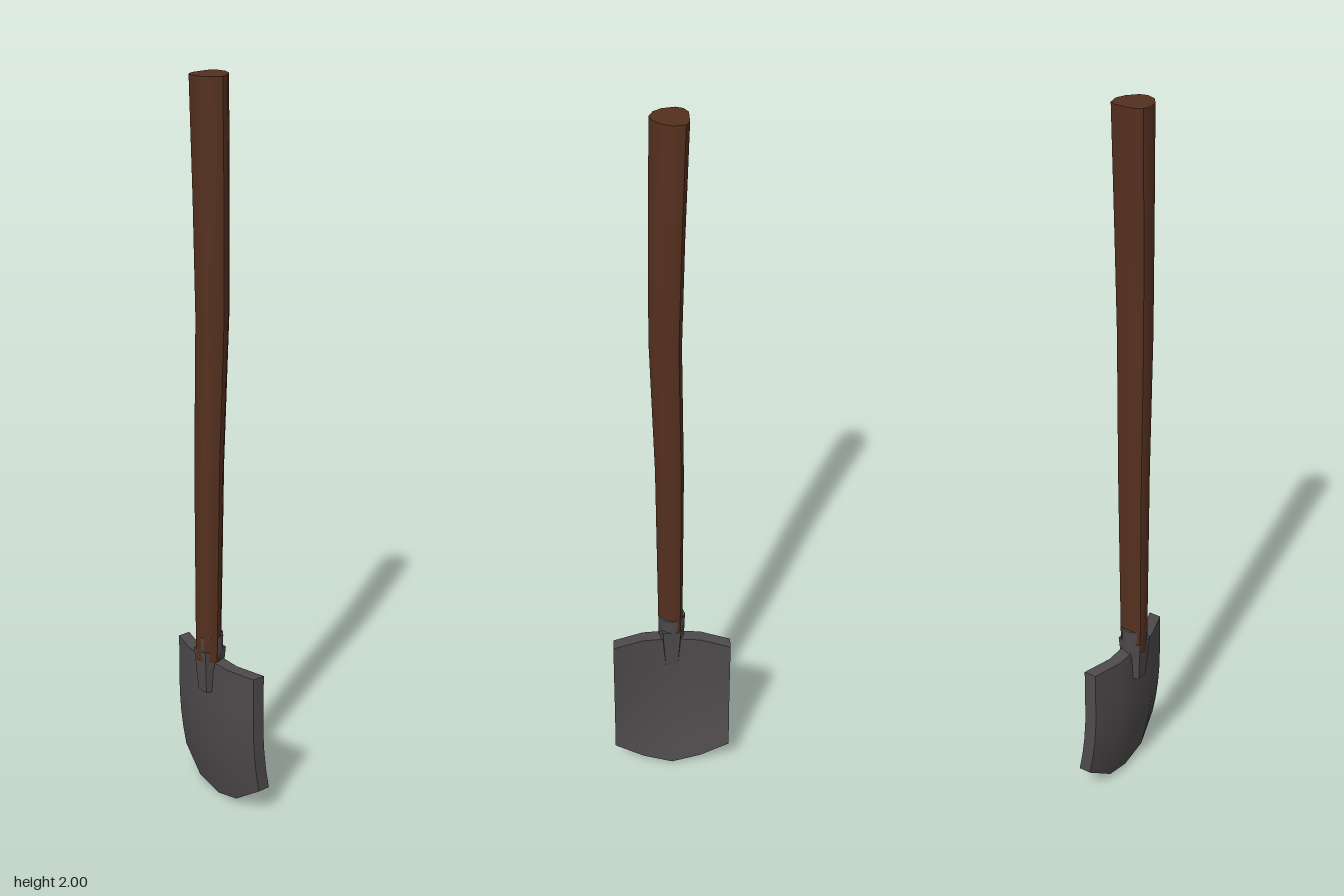
import * as THREE from 'three';
import { toCreasedNormals } from 'three/addons/utils/BufferGeometryUtils.js';

const wood = new THREE.MeshStandardMaterial({ color: 0x55301f });
const iron = new THREE.MeshStandardMaterial({ color: 0x4e4a4c });

// Moves every vertex of a geometry by a rule
function reshape(geometry, rule) {
  const p = geometry.attributes.position;
  const v = new THREE.Vector3();
  for (let i = 0; i < p.count; i++) {
    rule(v.fromBufferAttribute(p, i));
    p.setXYZ(i, v.x, v.y, v.z);
  }
  geometry.computeVertexNormals();
  return geometry;
}

function part(name, geometry, material) {
  const mesh = new THREE.Mesh(geometry, material);
  mesh.name = name;
  return mesh;
}

// Hand-hewn pole: an irregular outline, carried through slightly bent rings
function handle() {
  const outline = [
    [-0.003, 0.05], [0.017, 0.044], [0.04, 0.02], [0.05, -0.005], [0.044, -0.034], [0.027, -0.043],
    [-0.023, -0.042], [-0.043, -0.03], [-0.05, -0.012], [-0.043, 0.02], [-0.028, 0.04],
  ];
  // y, centre x, centre z, scale; bottom to top
  const rings = [
    [0.44, -0.021, 0.001, 0.7],
    [1.0, -0.019, 0.003, 0.8],
    [1.4, -0.016, 0.013, 0.88],
    [1.7, -0.016, 0.009, 0.94],
    [2.0, -0.017, 0.002, 1],
  ];
  const n = outline.length;
  const spans = rings.length - 1;
  const geometry = reshape(new THREE.CylinderGeometry(1, 1, 1, n, spans), (v) => {
    const [y, cx, cz, s] = rings[Math.round((v.y + 0.5) * spans)];
    const k = (Math.round((Math.atan2(v.x, v.z) / (2 * Math.PI)) * n) + n) % n;
    const [ox, oz] = Math.hypot(v.x, v.z) < 0.5 ? [0, 0] : outline[k];
    v.set(cx + ox * s, y, cz + oz * s);
  });
  return part('handle', toCreasedNormals(geometry, 0.6), wood);
}

// Curved blade: sides and lower end sweep towards +x, lower edge is pointed
function blade() {
  const halfWidth = 0.162;
  const bottoms = [0, 0.022, 0.08];
  const tops = [0.44, 0.436, 0.432];
  const curl = [0, 0.003, 0.03];
  const geometry = reshape(new THREE.BoxGeometry(0.035, 1, 2, 1, 6, 4), (v) => {
    const column = Math.round(Math.abs(v.z) * 2);
    const y = THREE.MathUtils.lerp(bottoms[column], tops[column], v.y + 0.5);
    const sweep = 0.042 * Math.max(0, (0.3 - y) / 0.3) ** 2;
    v.set(v.x - 0.0125 + curl[column] + sweep, y, v.z * halfWidth);
  });
  return part('blade', geometry, iron);
}

// Collar around the pole with a tapering strap on each face of the blade
function socket() {
  const group = new THREE.Group();
  group.name = 'socket';
  const collar = new THREE.CylinderGeometry(0.037, 0.034, 0.09, 10);
  collar.translate(-0.019, 0.467, 0);
  group.add(part('collar', toCreasedNormals(collar, 0.7), iron));

  for (const side of [-1, 1]) {
    const strap = reshape(new THREE.BoxGeometry(1, 1, 1), (v) => {
      const low = v.y < 0;
      const outer = v.x * side > 0;
      const taper = outer ? 0.75 : 1;
      const offset = outer ? (low ? 0.026 : 0.035) : 0.005;
      v.set(-0.019 + side * offset, low ? 0.345 : 0.47, v.z * (low ? 0.045 : 0.066) * taper);
    });
    group.add(part(side > 0 ? 'innerStrap' : 'outerStrap', strap, iron));
  }
  return group;
}

export function createModel() {
  const model = new THREE.Group();
  model.name = 'shovel';
  model.add(handle(), blade(), socket());
  return model;
}
